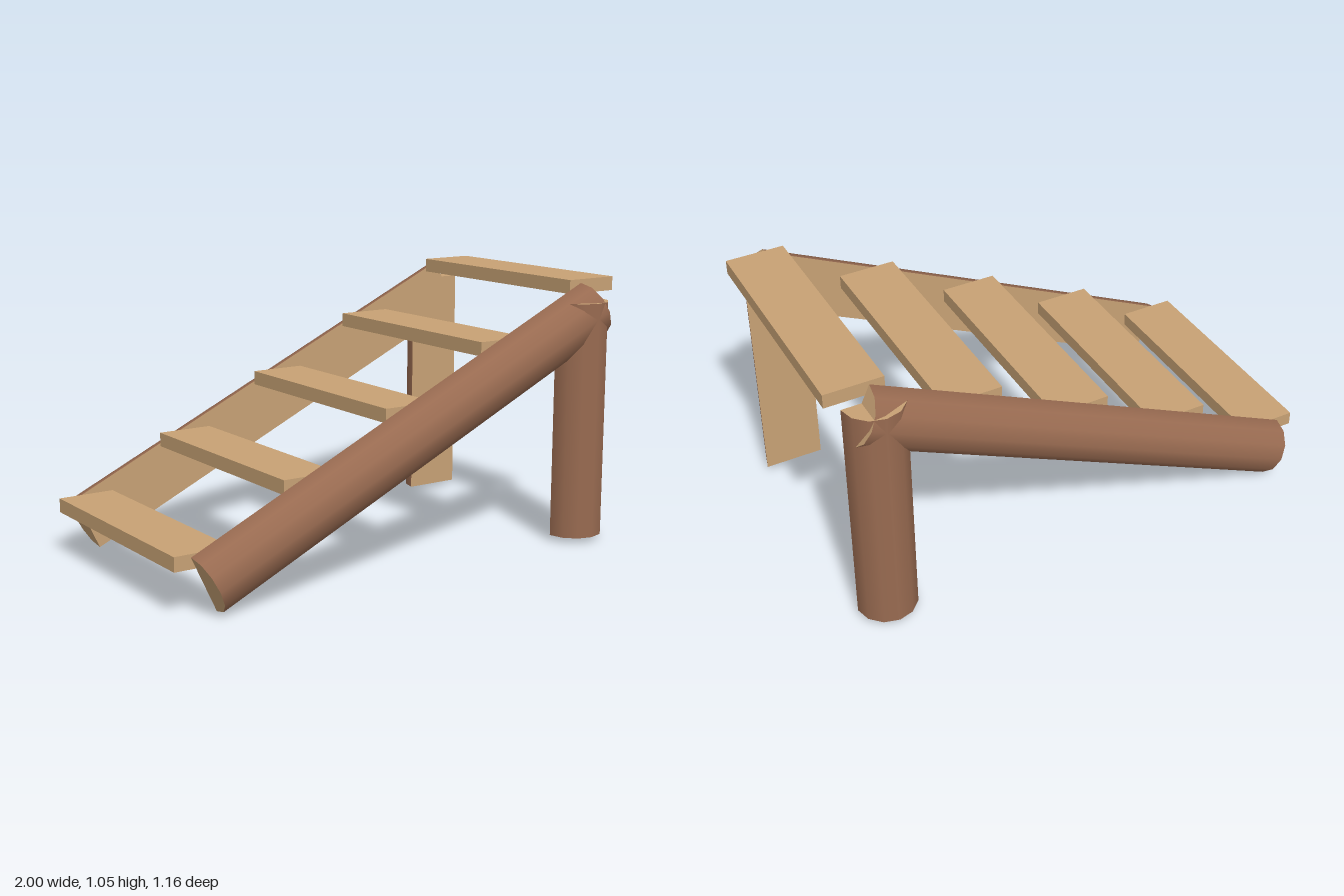
import * as THREE from 'three';

const bark = new THREE.MeshStandardMaterial({ color: 0x996b51 });
bark.name = 'bark brown';
const wood = new THREE.MeshStandardMaterial({ color: 0xc8a275 });
wood.name = 'cut wood tan';

const INNER = 0.465; // distance of the flat log faces from the middle

// Half log between two points in the xy plane, round face outward on the given side
function halfLog(name, x0, y0, x1, y1, radius, side) {
  const length = Math.hypot(x1 - x0, y1 - y0);
  const log = new THREE.Group();
  log.name = name;
  log.position.set((x0 + x1) / 2, (y0 + y1) / 2, side * INNER);
  log.rotation.z = -Math.atan2(x1 - x0, y1 - y0);

  const halves = new THREE.Group();
  halves.name = name + 'Halves';
  halves.rotation.y = side > 0 ? 0 : Math.PI;
  log.add(halves);

  // round bark with sawn ends
  const round = new THREE.Mesh(
    new THREE.CylinderGeometry(radius, radius, length, 6, 1, false, -Math.PI / 2, Math.PI),
    [bark, wood, wood]
  );
  round.name = name + 'Bark';
  // flat sawn face toward the middle
  const flat = new THREE.Mesh(new THREE.PlaneGeometry(radius * 2, length), wood);
  flat.name = name + 'SawnFace';
  flat.rotation.y = Math.PI;
  halves.add(round, flat);
  return log;
}

export function createModel() {
  const model = new THREE.Group();
  model.name = 'logStairs';

  // sloping stringers and upright posts on both sides
  for (const [label, side] of [['front', 1], ['back', -1]]) {
    model.add(halfLog(label + 'Stringer', -0.885, 0.115, 0.88, 0.935, 0.1165, side));
    model.add(halfLog(label + 'Post', 0.8225, 0.03, 0.8225, 0.972, 0.1175, side));
  }

  // five plank treads
  const plank = new THREE.BoxGeometry(0.226, 0.055, INNER * 2);
  for (let i = 0; i < 5; i++) {
    const tread = new THREE.Mesh(plank, wood);
    tread.name = 'tread' + (i + 1);
    tread.position.set(-0.887 + i * 0.4435, 0.206 + i * 0.2055, 0);
    model.add(tread);
  }
  return model;
}
